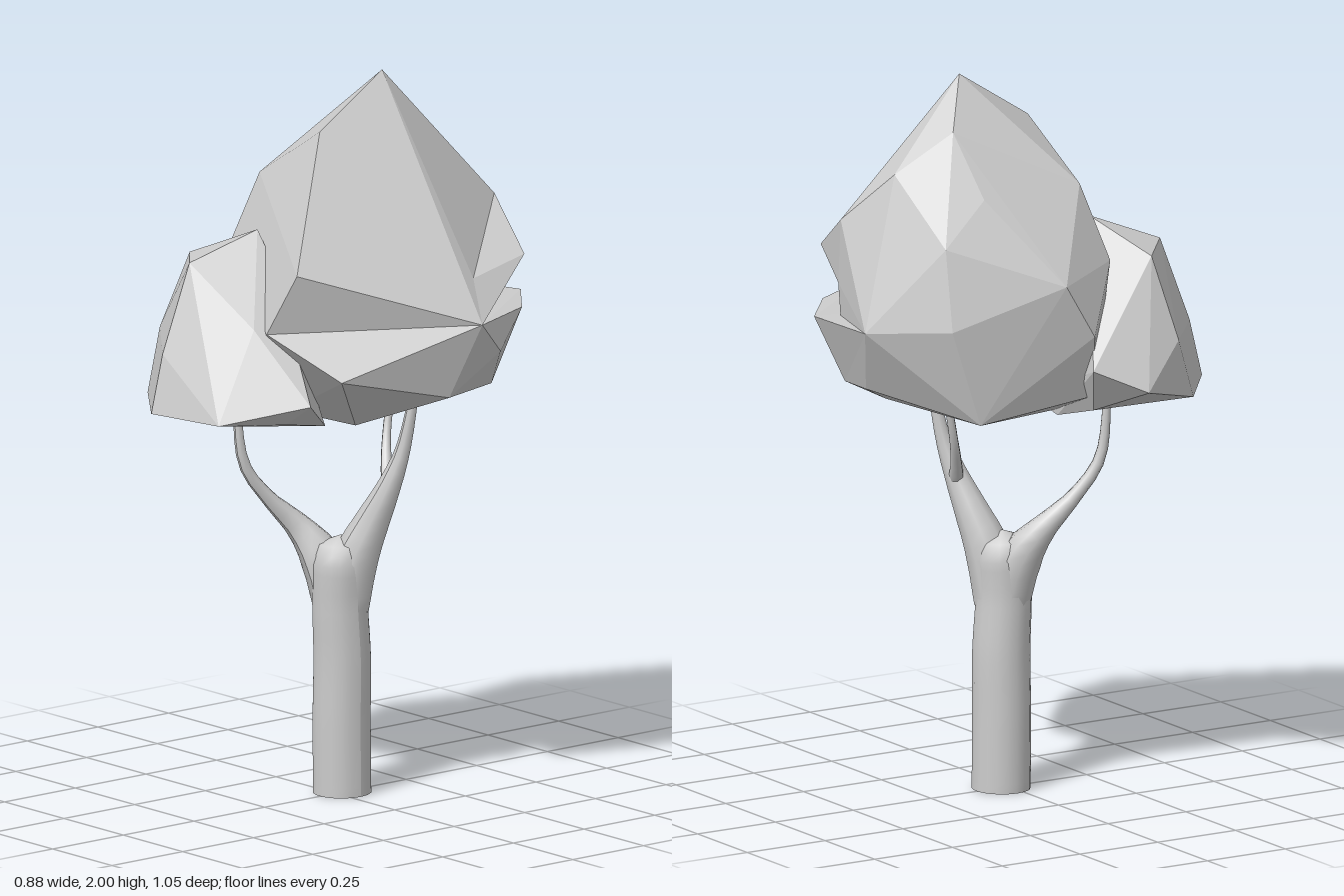
import * as THREE from 'three';
import { ConvexGeometry } from 'three/addons/geometries/ConvexGeometry.js';

const leafMaterial = new THREE.MeshStandardMaterial({ color: 0xcccccc, flatShading: true });
const barkMaterial = new THREE.MeshStandardMaterial({ color: 0xcccccc, side: THREE.DoubleSide });

// Faceted lump of foliage spanned by a few corner points
function foliage(name, points) {
  const mesh = new THREE.Mesh(new ConvexGeometry(points.map(p => new THREE.Vector3(...p))), leafMaterial);
  mesh.name = name;
  return mesh;
}

// Tapered limb: each stop is [x, y, z, radius]
function limb(name, stops, sides, steps) {
  const curve = new THREE.CatmullRomCurve3(stops.map(s => new THREE.Vector3(s[0], s[1], s[2])));
  const geometry = new THREE.TubeGeometry(curve, steps, 1, sides);
  const pos = geometry.attributes.position;
  const v = new THREE.Vector3();
  for (let i = 0; i <= steps; i++) {
    const u = i / steps;
    const centre = curve.getPointAt(u);
    const t = curve.getUtoTmapping(u) * (stops.length - 1);
    const k = Math.min(Math.floor(t), stops.length - 2);
    const radius = THREE.MathUtils.lerp(stops[k][3], stops[k + 1][3], t - k);
    for (let j = 0; j <= sides; j++) {
      const n = i * (sides + 1) + j;
      v.fromBufferAttribute(pos, n).sub(centre).multiplyScalar(radius).add(centre);
      pos.setXYZ(n, v.x, v.y, v.z);
    }
  }
  geometry.computeVertexNormals();
  const mesh = new THREE.Mesh(geometry, barkMaterial);
  mesh.name = name;
  return mesh;
}

export function createModel() {
  const tree = new THREE.Group();
  tree.name = 'tree';

  // Trunk, forking into two main branches and a twig
  tree.add(limb('trunk', [
    [-0.002, 0, -0.026, 0.08], [-0.002, 0.2, -0.024, 0.08], [0, 0.38, -0.024, 0.079],
    [0, 0.54, -0.016, 0.076], [0.002, 0.64, -0.016, 0.079], [0.002, 0.69, -0.018, 0.068],
    [0.002, 0.718, -0.02, 0.001],
  ], 18, 28));
  tree.add(limb('leftBranch', [
    [-0.015, 0.52, -0.01, 0.058], [-0.05, 0.655, 0.01, 0.06], [-0.095, 0.735, 0.052, 0.036],
    [-0.128, 0.82, 0.13, 0.02], [-0.152, 0.92, 0.195, 0.016], [-0.163, 1.12, 0.215, 0.01],
  ], 9, 16));
  tree.add(limb('rightBranch', [
    [0.012, 0.52, -0.03, 0.064], [0.036, 0.66, -0.045, 0.064], [0.066, 0.75, -0.07, 0.05],
    [0.108, 0.86, -0.1, 0.033], [0.135, 0.96, -0.125, 0.021], [0.16, 1.14, -0.15, 0.012],
  ], 9, 16));
  tree.add(limb('twig', [
    [0.1, 0.85, -0.105, 0.022], [0.06, 0.905, -0.13, 0.016],
    [0.025, 0.98, -0.16, 0.012], [0.005, 1.14, -0.2, 0.01],
  ], 7, 10));

  // Main crown: pointed top running down to the back and left
  tree.add(foliage('mainCrown', [
    [0.03, 2, -0.14], [0.03, 1.86, 0.08], [-0.08, 1.87, -0.23], [-0.02, 1.76, -0.38],
    [-0.2, 1.71, 0.1], [-0.19, 1.7, -0.2], [0.16, 1.51, 0.27], [0.11, 1.62, -0.47],
    [0.08, 1.34, 0.31], [0.435, 1.36, -0.155], [0.355, 1.47, -0.19], [-0.26, 1.5, 0.16],
    [-0.2, 1.58, -0.33], [-0.355, 1.47, -0.04], [-0.355, 1.32, 0.05], [-0.25, 1.36, -0.34],
    [-0.06, 1.34, -0.5], [0.13, 1.44, -0.465], [-0.25, 1.3, 0.1], [0.03, 1.16, -0.44],
    [-0.25, 1.09, -0.25], [0.12, 1.165, -0.45], [0.15, 1.09, -0.3], [-0.3, 1.14, 0.08],
  ]));

  // Jutting ledge at the back right of the crown
  tree.add(foliage('backLedge', [
    [0.355, 1.47, -0.19], [0.11, 1.62, -0.47], [0.32, 1.5, -0.4], [0.435, 1.36, -0.155],
    [0.13, 1.44, -0.465], [0.1, 1.4, -0.3],
  ]));

  // Skirt under the right side and back of the crown
  tree.add(foliage('crownSkirt', [
    [0.08, 1.34, 0.31], [0.435, 1.36, -0.155], [0.325, 1.24, 0.25], [0.41, 1.27, -0.24],
    [0.15, 1.35, -0.53], [-0.06, 1.34, -0.5], [0.31, 1.35, -0.4], [0.385, 1.16, -0.08],
    [0.36, 1.17, -0.25], [0.12, 1.165, -0.45], [0.15, 1.09, -0.3], [-0.25, 1.09, -0.25],
    [0.18, 1.07, 0.08], [-0.1, 1.06, 0.08], [-0.3, 1.14, 0.08],
  ]));

  // Smaller lump at the front
  tree.add(foliage('frontFoliage', [
    [-0.09, 1.585, 0.2], [-0.15, 1.51, 0.39], [-0.28, 1.5, 0.28], [-0.02, 1.5, 0.2],
    [0.05, 1.35, 0.33], [-0.37, 1.28, 0.31], [-0.15, 1.27, 0.485], [0, 1.24, 0.45],
    [-0.44, 1.165, 0.17], [-0.38, 1.23, 0.03], [0.23, 1.16, 0.28], [-0.35, 1.11, 0.37],
    [-0.15, 1.11, 0.525], [0.08, 1.11, 0.48], [0.15, 1.1, 0.3], [-0.3, 1.1, 0.08],
    [-0.12, 1.05, 0.08], [0.1, 1.06, 0.12], [-0.1, 1.06, 0.22],
  ]));

  return tree;
}
